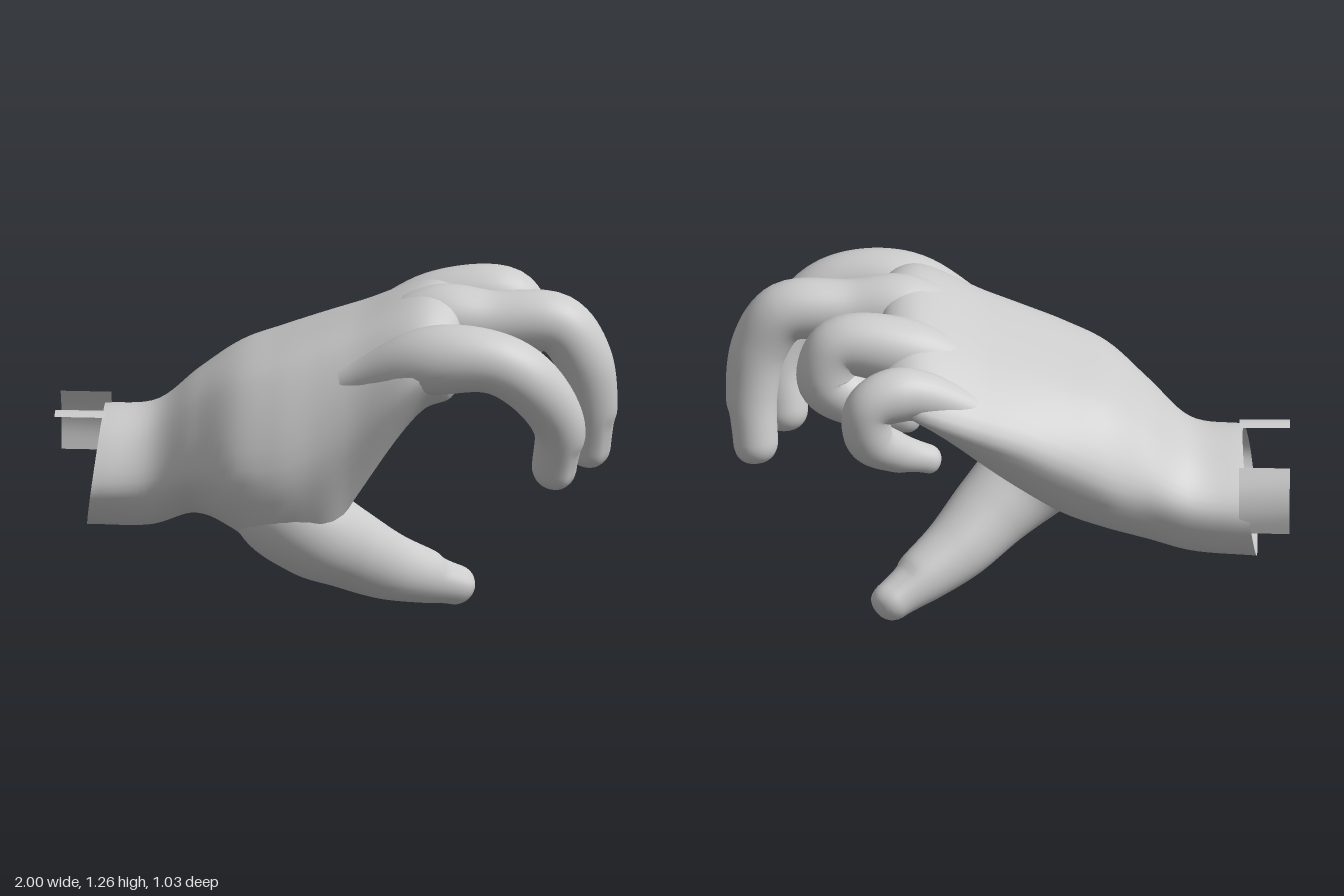
import * as THREE from 'three';

const V = (x, y, z) => new THREE.Vector3(x, y, z);
const { lerp, smoothstep } = THREE.MathUtils;

// Skin a list of equal-length rings with smooth normals.
function skin(rings, closed = true) {
  const n = rings[0].length, index = [];
  for (let i = 0; i < rings.length - 1; i++) {
    for (let j = 0; j < (closed ? n : n - 1); j++) {
      const k = (j + 1) % n;
      const a = i * n + j, b = i * n + k, c = a + n, d = b + n;
      index.push(a, b, c, b, d, c);
    }
  }
  const geo = new THREE.BufferGeometry().setFromPoints(rings.flat());
  geo.setIndex(index);
  geo.computeVertexNormals();
  return geo;
}

// Tapered finger along [x, y, z, radius] points, with a blunt tip and a sunken nail.
function fingerGeometry(points) {
  const path = new THREE.CatmullRomCurve3(points.map(p => V(p[0], p[1], p[2])));
  const radii = new THREE.SplineCurve(points.map(p => new THREE.Vector2(p[3], 0)));
  const steps = 48, tipSteps = 8, sides = 32, rings = [];
  const last = points[points.length - 1][3];
  for (let i = 0; i <= steps + tipSteps; i++) {
    const t = Math.min(i / steps, 1);
    const roll = Math.max(0, i - steps) / tipSteps * Math.PI / 2;
    const tangent = path.getTangent(t);
    const side = V(0, 0, 1).addScaledVector(tangent, -tangent.z).normalize();
    const up = side.clone().cross(tangent);
    const centre = path.getPoint(t).addScaledVector(tangent, last * 0.95 * Math.sin(roll));
    const r = radii.getPoint(t).x * Math.max(Math.cos(roll), 0.0005) ** 0.8;
    const dent = 0.1 * smoothstep(t, 0.86, 0.91) * Math.cos(roll);
    const ring = [];
    for (let j = 0; j < sides; j++) {
      const a = j / sides * Math.PI * 2;
      const rr = r * (1 - dent * smoothstep(Math.cos(a), 0.5, 0.8));
      ring.push(centre.clone().addScaledVector(up, Math.cos(a) * rr).addScaledVector(side, Math.sin(a) * rr));
    }
    rings.push(ring);
  }
  return skin(rings);
}

// One palm section from its back, thumb edge, thumb base, hollow and outer edge, each [z, y].
function palmSection(x, back, thumbEdge, thumbBase, hollow, outerEdge) {
  const slope = 0.045 + 0.04 * Math.max(0, x + 0.35);
  const loop = [
    back,
    [lerp(back[0], thumbEdge[0], 0.6), back[1] - 0.045],
    thumbEdge, thumbBase, hollow,
    [lerp(hollow[0], outerEdge[0], 0.7), lerp(hollow[1], outerEdge[1], 0.15)],
    outerEdge,
    [lerp(back[0], outerEdge[0], 0.6), back[1] - slope],
  ];
  return loop.map(([z, y]) => V(x, y, z));
}

function palmGeometry() {
  const sections = [
    palmSection(-0.87, [-.075, .72], [.21, .50], [.10, .35], [-.075, .31], [-.36, .53]),
    palmSection(-0.65, [-.06, .74], [.22, .52], [.12, .36], [-.06, .33], [-.37, .56]),
    palmSection(-0.50, [-.04, .86], [.31, .60], [.16, .42], [-.06, .38], [-.39, .63]),
    palmSection(-0.35, [.00, .965], [.43, .62], [.28, .40], [-.06, .44], [-.44, .70]),
    palmSection(-0.20, [.02, 1.03], [.47, .62], [.28, .29], [-.05, .50], [-.46, .78]),
    palmSection(-0.05, [.04, 1.09], [.47, .68], [.27, .30], [-.03, .60], [-.48, .86]),
    palmSection(0.08, [.06, 1.14], [.47, .79], [.30, .52], [.00, .70], [-.49, .91]),
    palmSection(0.33, [.09, 1.24], [.485, 1.04], [.34, .88], [.00, .91], [-.48, 1.0]),
  ];
  // The open wrist edge leans with height.
  for (const p of sections[0]) p.x = -0.885 + (p.y - 0.31) * 0.13;
  // Close the palm between the knuckles.
  const knuckles = sections[sections.length - 1];
  for (const [x, shrink] of [[0.43, 0.18], [0.48, 0.95]]) {
    sections.push(knuckles.map(p => p.clone().lerp(V(0, 1.07, 0.05), shrink).setX(x)));
  }
  const rails = knuckles.map((_, k) => new THREE.CatmullRomCurve3(sections.map(s => s[k])));
  const rings = [];
  for (let i = 0; i <= 60; i++) {
    const loop = new THREE.CatmullRomCurve3(rails.map(c => c.getPoint(i / 60)), true);
    rings.push(loop.getPoints(48).slice(0, 48));
  }
  return skin(rings);
}

// Open strip running back from the wrist, following a short [z, y] arc.
function stripGeometry(arc) {
  const curve = new THREE.CatmullRomCurve3(arc.map(([z, y]) => V(0, y, z)));
  return skin([-1, -0.82].map(x => curve.getPoints(8).map(p => V(x, p.y, p.z))), false);
}

export function createModel() {
  const model = new THREE.Group();
  model.name = 'hand';
  const skinGrey = new THREE.MeshStandardMaterial({ color: 0xcccccc, side: THREE.DoubleSide });
  skinGrey.name = 'skin grey';

  const add = (name, geometry) => {
    const mesh = new THREE.Mesh(geometry, skinGrey);
    mesh.name = name;
    model.add(mesh);
  };

  add('palmAndWrist', palmGeometry());

  // Digits, from inside the palm to the tip
  add('indexFinger', fingerGeometry([[.05, .97, .33, .06], [.35, 1.075, .375, .122], [.58, 1.08, .39, .112],
    [.71, 1.0, .37, .108], [.81, .82, .305, .093], [.795, .65, .255, .084]]));
  add('middleFinger', fingerGeometry([[.05, 1.01, .09, .06], [.35, 1.13, .09, .125], [.56, 1.13, .09, .112],
    [.79, 1.125, .085, .108], [.88, 1.0, .075, .102], [.91, .82, .045, .092], [.9, .65, .005, .084]]));
  add('ringFinger', fingerGeometry([[.05, 1.0, -.18, .06], [.35, 1.1, -.18, .12], [.6, 1.125, -.185, .107],
    [.64, 1.0, -.2, .107], [.53, .925, -.21, .095], [.37, .88, -.23, .07]]));
  add('littleFinger', fingerGeometry([[.05, .93, -.36, .06], [.37, 1.05, -.4, .097], [.49, 1.01, -.435, .088],
    [.49, .89, -.43, .086], [.4, .81, -.38, .073], [.29, .76, -.34, .055]]));
  add('thumb', fingerGeometry([[-.36, .7, .22, .08], [-.2, .5, .25, .175], [-.07, .39, .245, .17],
    [.05, .3, .17, .147], [.18, .2, .06, .123], [.3, .135, -.03, .1], [.41, .08, -.11, .076]]));

  // Loose strips at the open wrist
  add('topWristStrip', stripGeometry([[-.03, .725], [.005, .73], [.04, .722]]));
  add('outerWristStrip', stripGeometry([[-.352, .47], [-.362, .55], [-.345, .63], [-.3, .705]]));
  return model;
}
